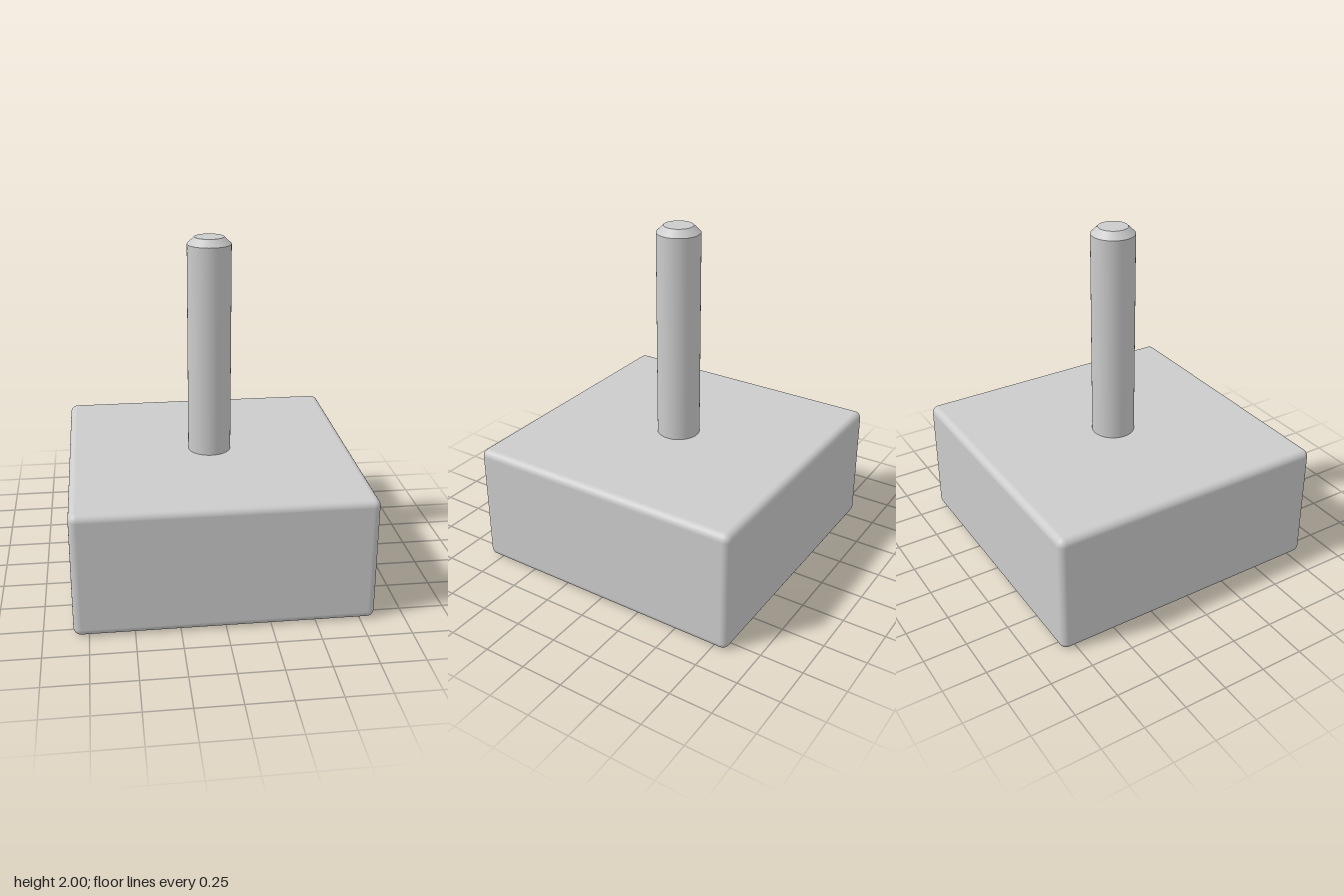
import * as THREE from 'three';
import { RoundedBoxGeometry } from 'three/addons/geometries/RoundedBoxGeometry.js';
import { mergeGeometries } from 'three/addons/utils/BufferGeometryUtils.js';

const BASE = { width: 1.67, height: 0.727, round: 0.042 };
const POST = { radius: 0.126, tipRadius: 0.085, shoulder: 1.96, top: 2 };
const SIDES = 48;

export function createModel() {
  const model = new THREE.Group();
  const material = new THREE.MeshStandardMaterial({ color: 0xcccccc });

  const add = (name, geometry) => {
    const mesh = new THREE.Mesh(geometry, material);
    mesh.name = name;
    model.add(mesh);
  };

  // Square block with softly rounded edges
  const block = new RoundedBoxGeometry(BASE.width, BASE.height, BASE.width, 5, BASE.round);
  add('base', block.translate(0, BASE.height / 2, 0));

  // Round post standing on the block, with a crisp chamfer and flat tip
  const shaftHeight = POST.shoulder - BASE.height;
  const shaft = new THREE.CylinderGeometry(POST.radius, POST.radius, shaftHeight, SIDES, 1, true)
    .translate(0, BASE.height + shaftHeight / 2, 0);
  const chamferHeight = POST.top - POST.shoulder;
  const chamfer = new THREE.CylinderGeometry(POST.tipRadius, POST.radius, chamferHeight, SIDES, 1, true)
    .translate(0, POST.shoulder + chamferHeight / 2, 0);
  const tip = new THREE.CircleGeometry(POST.tipRadius, SIDES)
    .rotateX(-Math.PI / 2)
    .translate(0, POST.top, 0);
  add('post', mergeGeometries([shaft, chamfer, tip]));

  return model;
}
